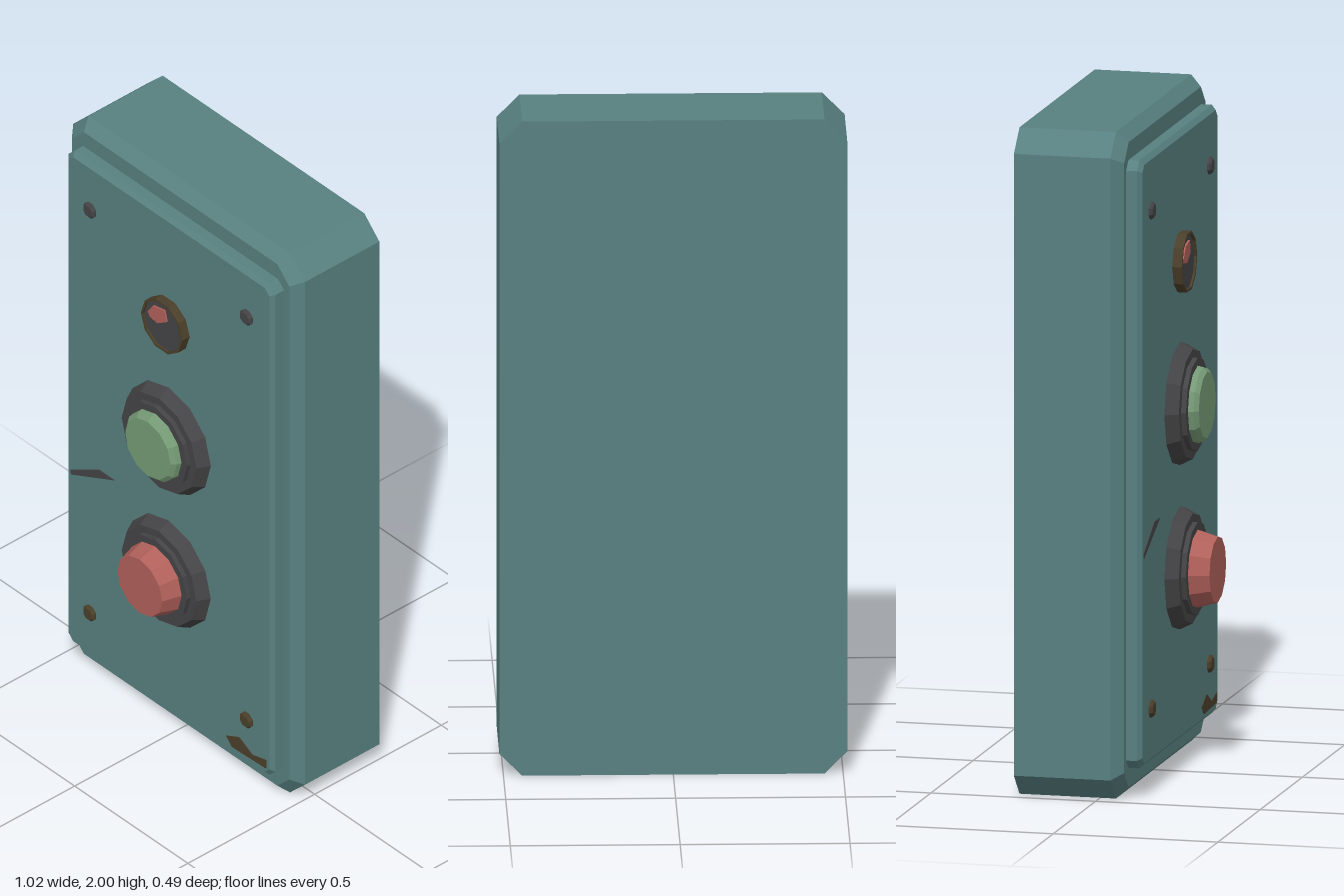
import * as THREE from 'three';

const mat = (name, color) => Object.assign(new THREE.MeshStandardMaterial({ color }), { name });

// Faceted normals for a low-poly look
function faceted(geo) {
  const g = geo.index ? geo.toNonIndexed() : geo;
  g.computeVertexNormals();
  return g;
}

// Octagonal slab lofted through sections [z, halfWidth, halfHeight, cornerCut]
function slab(sections) {
  const pos = [], idx = [];
  for (const [z, w, h, c] of sections) {
    const ring = [[w, -h + c], [w, h - c], [w - c, h], [-w + c, h],
      [-w, h - c], [-w, -h + c], [-w + c, -h], [w - c, -h]];
    for (const [x, y] of ring) pos.push(x, y, z);
  }
  const last = (sections.length - 1) * 8;
  for (let s = 0; s < last; s += 8) {
    for (let i = 0; i < 8; i++) {
      const a = s + i, b = s + (i + 1) % 8;
      idx.push(a, b, b + 8, a, b + 8, a + 8);
    }
  }
  for (let i = 1; i < 7; i++) {
    idx.push(0, i + 1, i);
    idx.push(last, last + i, last + i + 1);
  }
  const g = new THREE.BufferGeometry();
  g.setAttribute('position', new THREE.Float32BufferAttribute(pos, 3));
  g.setIndex(idx);
  return faceted(g);
}

// Turned part facing +z from a profile of [radius, z]
function turned(profile, sides, start = 0) {
  const pts = profile.map(([r, z]) => new THREE.Vector2(r, z));
  return faceted(new THREE.LatheGeometry(pts, sides, start).rotateX(Math.PI / 2));
}

// Thin painted shape facing +z
function decal(points, depth) {
  const shape = new THREE.Shape(points.map(([x, y]) => new THREE.Vector2(x, y)));
  return new THREE.ExtrudeGeometry(shape, { depth, bevelEnabled: false });
}

export function createModel() {
  const teal = mat('teal paint', 0x588080);
  const dark = mat('dark plastic', 0x444446);
  const rust = mat('rusty brown', 0x4a3f2a);
  const green = mat('green cap', 0x759a75);
  const red = mat('red cap', 0xb0605a);

  const model = new THREE.Group();
  model.name = 'controlBox';
  const add = (name, geo, material, x = 0, y = 0, z = 0, parent = model) => {
    const mesh = new THREE.Mesh(geo, material);
    mesh.name = name;
    mesh.position.set(x, y, z);
    parent.add(mesh);
    return mesh;
  };

  // Housing and raised front panel
  add('housing', slab([
    [-0.245, 0.512, 1, 0.067],
    [0.048, 0.512, 1, 0.067],
    [0.082, 0.48, 0.968, 0.053],
  ]), teal, 0, 1);
  add('frontPanel', slab([
    [0.07, 0.457, 0.912, 0.027],
    [0.115, 0.457, 0.912, 0.027],
    [0.128, 0.443, 0.898, 0.02],
  ]), teal, 0, 1.003);

  const face = 0.128;

  // Push buttons: stepped collar and tapered cap
  const collar = turned([[0, 0], [0.185, 0], [0.165, 0.039], [0.14, 0.039], [0.14, 0.054], [0, 0.054]], 12);
  const buttons = [
    ['greenButton', green, 1.103, [[0, 0.05], [0.117, 0.05], [0.113, 0.07], [0.1, 0.083], [0, 0.083]]],
    ['redButton', red, 0.61, [[0, 0.05], [0.118, 0.05], [0.099, 0.115], [0, 0.115]]],
  ];
  for (const [name, material, y, profile] of buttons) {
    const group = new THREE.Group();
    group.name = name;
    group.position.set(0, y, face);
    model.add(group);
    add('collar', collar, dark, 0, 0, 0, group);
    add('cap', turned(profile, 12), material, 0, 0, 0, group);
  }

  // Indicator lamp with a broken lens
  const lamp = new THREE.Group();
  lamp.name = 'indicatorLamp';
  lamp.position.set(0, 1.53, face);
  model.add(lamp);
  add('bezel', turned([[0.092, 0], [0.092, 0.029], [0.084, 0.029], [0.084, 0.02]], 10, Math.PI / 2), rust, 0, 0, 0, lamp);
  add('socket', turned([[0.086, 0.022], [0, 0.022]], 10, Math.PI / 2), dark, 0, 0, 0, lamp);
  add('lensShard', decal([[-0.063, 0.02], [-0.053, 0.005], [-0.02, 0], [0.02, 0.027],
    [0.01, 0.063], [-0.04, 0.053]], 0.006), red, 0, 0, 0.022, lamp);

  // Corner screws, the lower pair rusted
  const screw = turned([[0.027, 0], [0.027, 0.006], [0.02, 0.012], [0, 0.012]], 8, Math.PI / 8);
  for (const x of [-0.346, 0.346]) {
    add('upperScrew', screw, dark, x, 1.75, face);
    add('lowerScrew', screw, rust, x, 0.255, face);
  }

  // Wear marks
  add('scratch', decal([[-0.434, 0.735], [-0.43, 0.72], [-0.238, 0.808], [-0.307, 0.808]], 0.002), dark, 0, 0, face);
  add('rustPatch', decal([[0.254, 0.143], [0.28, 0.116], [0.43, 0.122], [0.43, 0.153],
    [0.37, 0.138], [0.312, 0.17]], 0.002), rust, 0, 0, face);

  return model;
}
